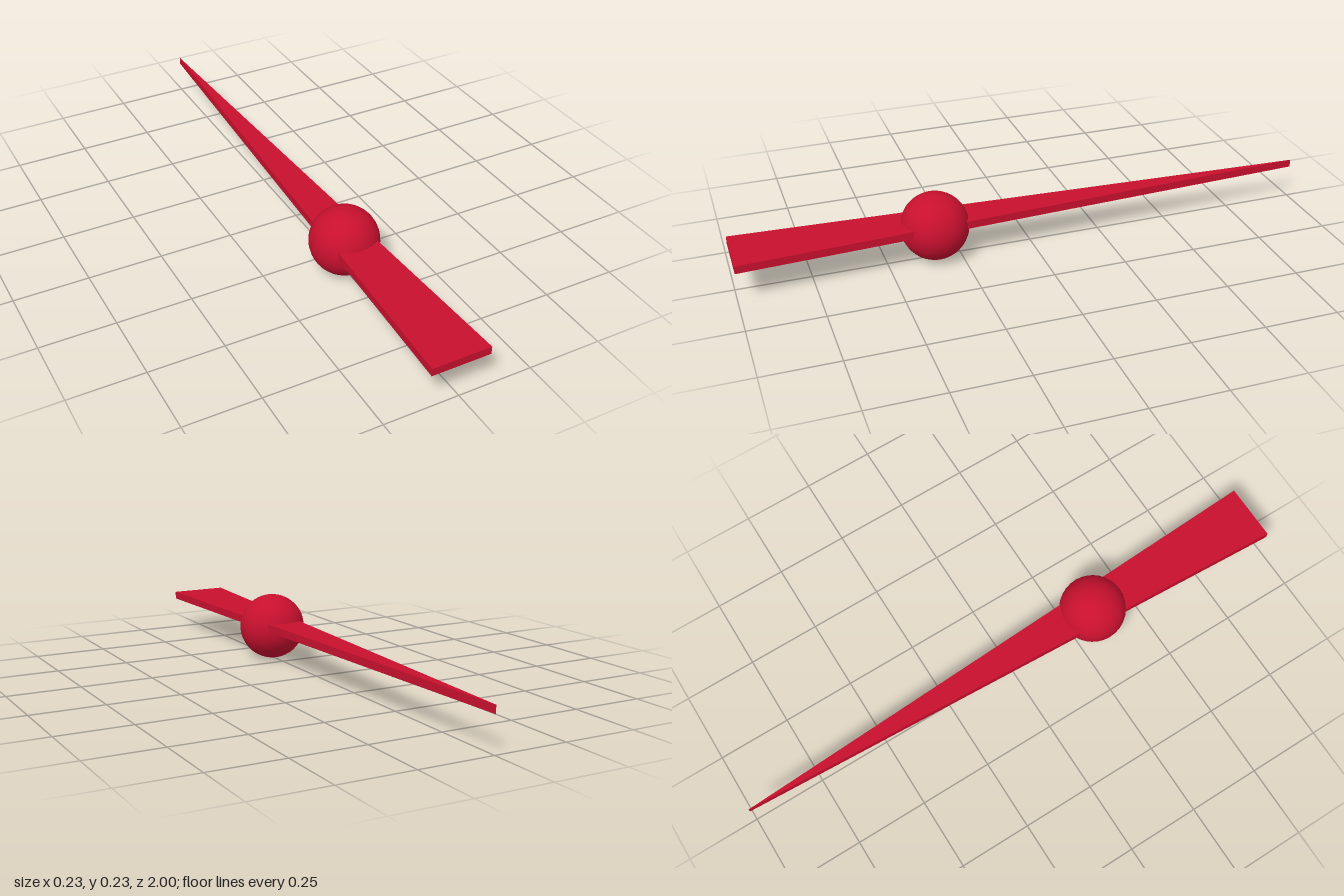
import * as THREE from 'three';

export function createModel() {
  const group = new THREE.Group();
  const red = new THREE.MeshStandardMaterial({ color: 0xc8102e });
  const radius = 0.115;

  // Long flat triangle, wide at the front and pointed at the back
  const outline = new THREE.Shape([
    new THREE.Vector2(-0.1, -1),
    new THREE.Vector2(0.1, -1),
    new THREE.Vector2(0, 1),
  ]);
  const needleGeometry = new THREE.ExtrudeGeometry(outline, { depth: 0.027, bevelEnabled: false });
  needleGeometry.rotateX(-Math.PI / 2);
  const needle = new THREE.Mesh(needleGeometry, red);
  needle.name = 'needle';
  needle.position.y = radius + 0.001;
  group.add(needle);

  // Ball at the triangle's centroid
  const hub = new THREE.Mesh(new THREE.SphereGeometry(radius, 32, 32), red);
  hub.name = 'hub';
  hub.position.set(0, radius, 1 / 3);
  group.add(hub);

  return group;
}
